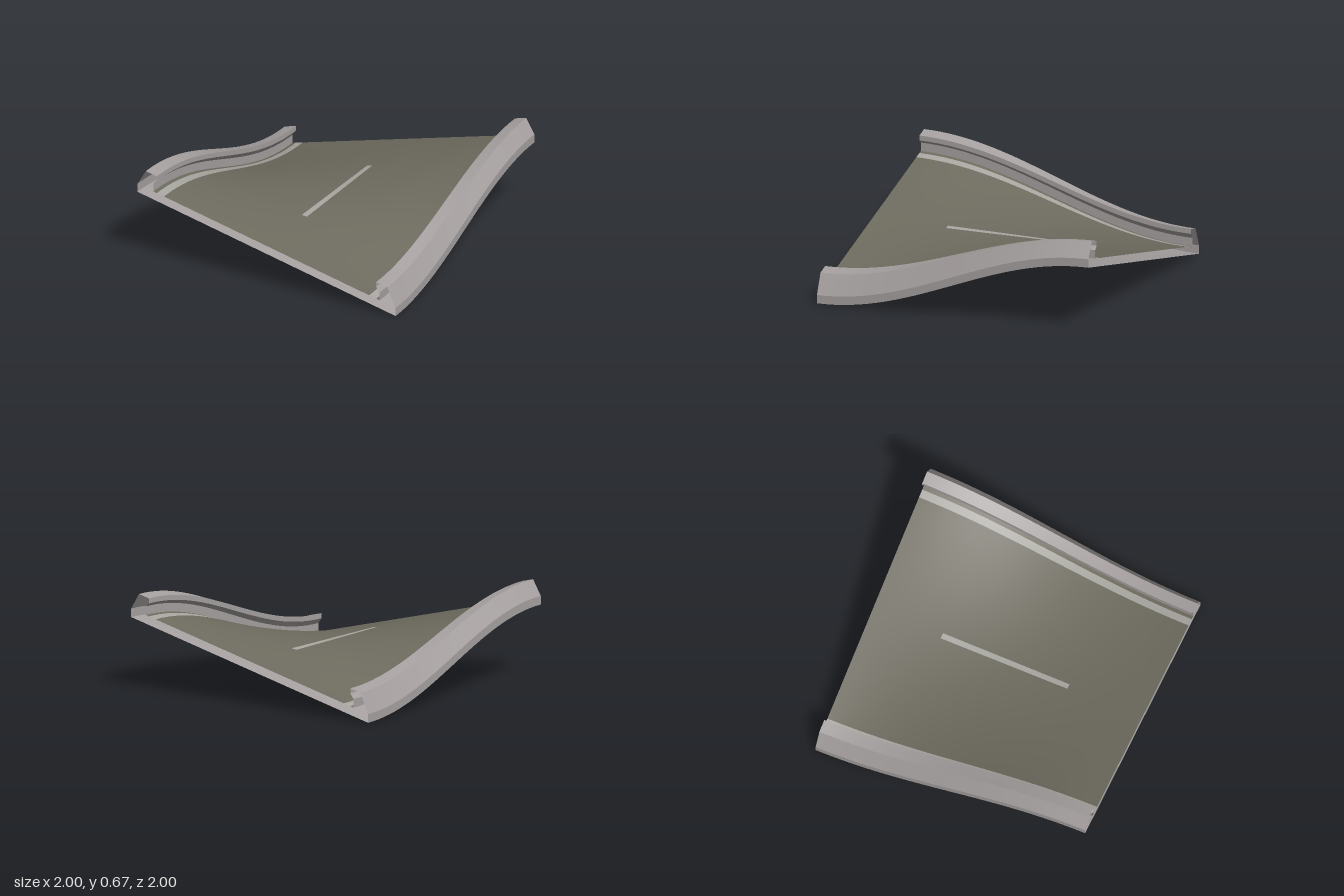
import * as THREE from 'three';

const material = (name, color) =>
  Object.assign(new THREE.MeshStandardMaterial({ color, side: THREE.DoubleSide }), { name });

// Bank angle varies smoothly along the length: each section is sheared in y.
const bank = (x, y, z) => 0.25 + y - 0.25 * x * Math.sin(z * Math.PI / 2);

// Sweep a profile (counterclockwise in x, y) along z; edges between segments stay sharp.
function sweep(profile, z0 = -1, z1 = 1, columns = 1, rows = 32) {
  const pos = [], index = [];
  for (let s = 0; s < profile.length - 1; s++) {
    const [ax, ay] = profile[s], [bx, by] = profile[s + 1];
    const base = pos.length / 3, stride = columns + 1;
    for (let r = 0; r <= rows; r++) {
      const z = z0 + (z1 - z0) * r / rows;
      for (let c = 0; c <= columns; c++) {
        const t = c / columns, x = ax + (bx - ax) * t, y = ay + (by - ay) * t;
        pos.push(x, bank(x, y, z), z);
      }
    }
    for (let r = 0; r < rows; r++) {
      for (let c = 0; c < columns; c++) {
        const a = base + r * stride + c, b = a + 1, d = a + stride, e = d + 1;
        index.push(a, b, d, b, e, d);
      }
    }
  }
  const g = new THREE.BufferGeometry();
  g.setAttribute('position', new THREE.Float32BufferAttribute(pos, 3));
  g.setIndex(index);
  g.computeVertexNormals();
  return g;
}

export function createModel() {
  const concrete = material('concrete', 0xa6a1a0);
  const asphalt = material('asphalt', 0x6e6b5f);
  const paint = material('linePaint', 0xa8a6a0);

  const model = new THREE.Group();
  model.name = 'twistedRoad';
  const add = (name, geometry, mat) => {
    const mesh = new THREE.Mesh(geometry, mat);
    mesh.name = name;
    model.add(mesh);
  };
  const mirror = (profile) => profile.map(([x, y]) => [-x, y]).reverse();

  // Hollow shell, open at both ends: underside and road surface
  const top = 0.06;
  add('underside', sweep([[-1, 0], [1, 0]], -1, 1, 16), concrete);
  add('roadSurface', sweep([[0.795, top], [-0.795, top]], -1, 1, 16), asphalt);

  // Barriers with a slanted outer shoulder and an undercut inner face, and edge lines
  const barrier = [[1, 0], [1, 0.06], [0.935, 0.185], [0.85, 0.185],
    [0.85, 0.15], [0.877, 0.12], [0.877, top]];
  const edgeLine = [[0.85, top], [0.795, top]];
  const gutter = [[0.877, top], [0.85, top]];
  for (const [side, fit] of [['left', (p) => p], ['right', mirror]]) {
    add(side + 'Barrier', sweep(fit(barrier)), concrete);
    add(side + 'EdgeLine', sweep(fit(edgeLine)), paint);
    add(side + 'Gutter', sweep(fit(gutter)), asphalt);
  }

  // Painted dash in the middle of the road
  add('centreDash', sweep([[0.016, top + 0.004], [-0.022, top + 0.004]], -0.49, 0.45, 1, 16), paint);

  return model;
}
